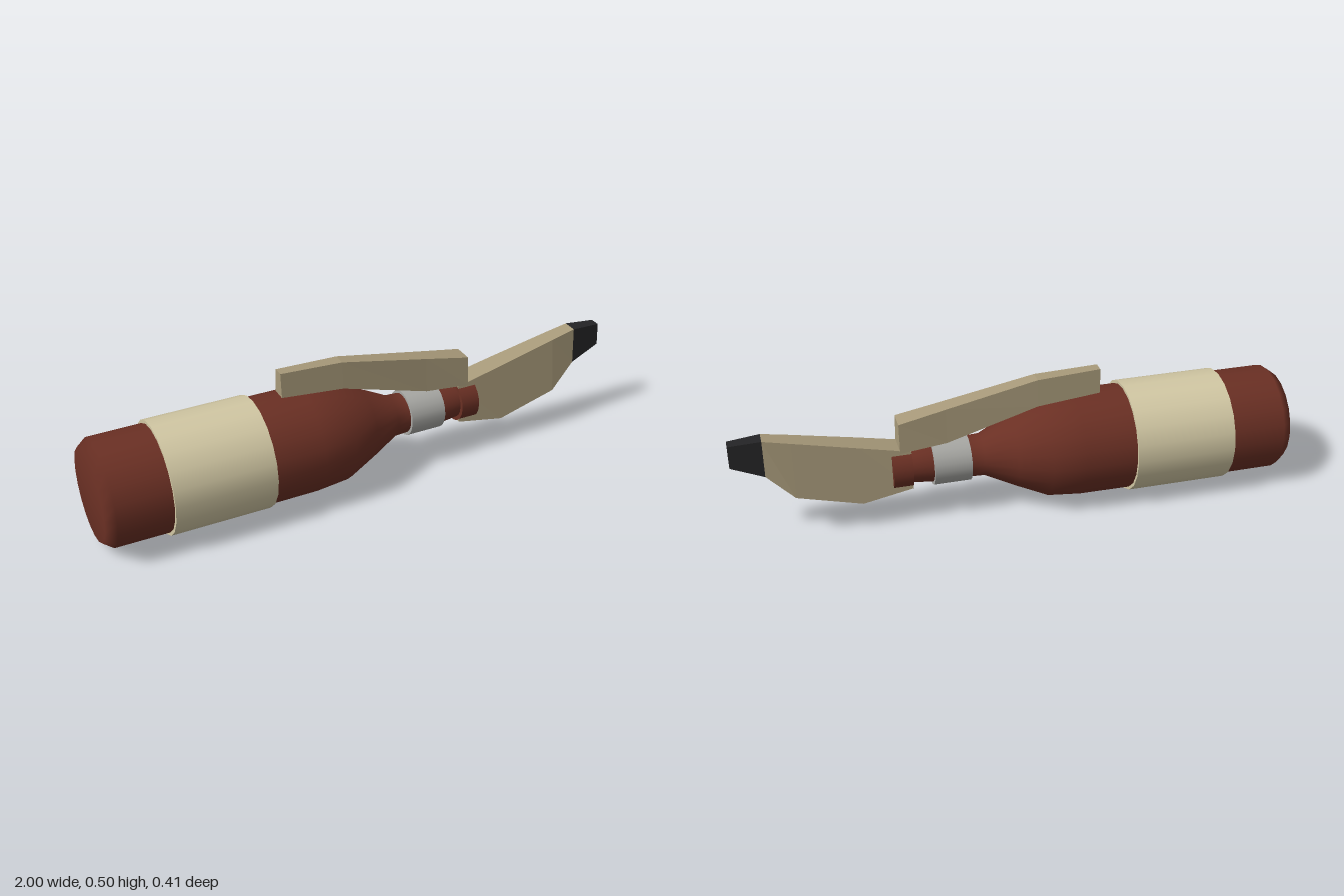
import * as THREE from 'three';

const AXIS_Y = 0.205;
const SIDES = 20;

const paint = (color) => new THREE.MeshStandardMaterial({ color });

function add(parent, name, geometry, material) {
  const mesh = new THREE.Mesh(geometry, material);
  mesh.name = name;
  parent.add(mesh);
  return mesh;
}

// Turned body lying along x; profile is a list of [x, radius]
function turned(profile) {
  const points = profile.map(([x, r]) => new THREE.Vector2(r, x));
  return new THREE.LatheGeometry(points, SIDES).rotateZ(-Math.PI / 2).translate(0, AXIS_Y, 0);
}

// Plain capped cylinder from x0 to x1
function band(x0, x1, r) {
  return new THREE.CylinderGeometry(r, r, x1 - x0, SIDES)
    .rotateZ(-Math.PI / 2)
    .translate((x0 + x1) / 2, AXIS_Y, 0);
}

// Faceted bar through trapezoid stations [x, top, bottom, halfWidthTop, halfWidthBottom]
function facetedBar(stations) {
  const rings = stations.map(([x, t, b, wt, wb]) => [[x, t, wt], [x, b, wb], [x, b, -wb], [x, t, -wt]]);
  const pos = [];
  const quad = (a, b, c, d) => pos.push(...a, ...b, ...c, ...a, ...c, ...d);
  for (let i = 0; i < rings.length - 1; i++) {
    for (let j = 0; j < 4; j++) {
      const k = (j + 1) % 4;
      quad(rings[i][j], rings[i][k], rings[i + 1][k], rings[i + 1][j]);
    }
  }
  quad(...[...rings[0]].reverse());
  quad(...rings[rings.length - 1]);
  const geometry = new THREE.BufferGeometry();
  geometry.setAttribute('position', new THREE.Float32BufferAttribute(pos, 3));
  geometry.computeVertexNormals();
  return geometry;
}

export function createModel() {
  const model = new THREE.Group();
  model.name = 'bottleWithBeak';

  const glass = paint(0x6b3024);
  const cream = paint(0xd2c8a4);
  const tan = paint(0xa89a7a);
  const steel = paint(0xa8a8a4);
  const black = paint(0x242426);
  tan.flatShading = true;
  black.flatShading = true;

  // Bottle
  const bottle = new THREE.Group();
  bottle.name = 'bottle';
  model.add(bottle);
  add(bottle, 'bottleBody', turned([
    [-1, 0], [-1, 0.165], [-0.965, 0.191], [-0.4, 0.192], [-0.22, 0.191],
    [-0.1, 0.18], [0.01, 0.13], [0.12, 0.076], [0.17, 0.074], [0.31, 0.073], [0.39, 0.064],
  ]), glass);
  add(bottle, 'bottleLip', band(0.38, 0.45, 0.08), glass);
  add(bottle, 'label', band(-0.77, -0.405, 0.203), cream);
  add(bottle, 'neckRing', band(0.17, 0.305, 0.085), steel);

  // Long bar resting on the shoulder and neck
  add(model, 'upperBar', facetedBar([
    [-0.31, 0.5, 0.41, 0.019, 0.027],
    [-0.08, 0.49, 0.39, 0.024, 0.033],
    [0.25, 0.424, 0.295, 0.031, 0.04],
    [0.42, 0.39, 0.28, 0.036, 0.046],
  ]), tan);

  // Beak at the mouth of the bottle with its dark tip
  add(model, 'beak', facetedBar([
    [0.38, 0.28, 0.14, 0.042, 0.06],
    [0.56, 0.32, 0.107, 0.038, 0.063],
    [0.79, 0.37, 0.165, 0.031, 0.055],
    [0.885, 0.39, 0.255, 0.027, 0.036],
  ]), tan);
  add(model, 'beakTip', facetedBar([
    [0.885, 0.39, 0.255, 0.027, 0.036],
    [1, 0.382, 0.3, 0.019, 0.025],
  ]), black);

  return model;
}
